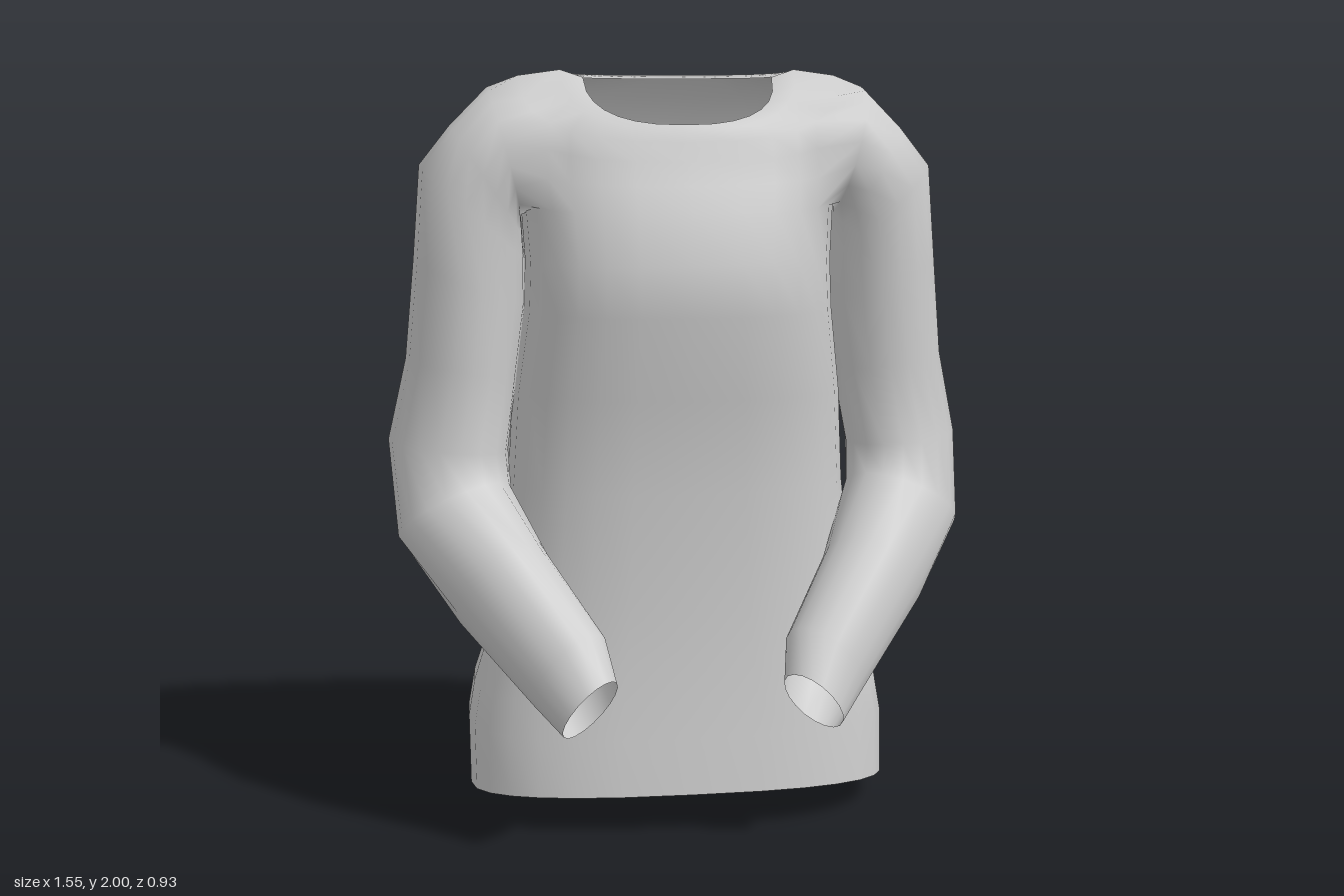
import * as THREE from 'three';

const COLUMNS = 28;  // points around the body
const HALF = 3;      // armhole reaches this many columns either side of the flank

// Body sections: half width, side y, front y, front z, back y, back z, front and back roundness
const bodySections = [
  [0.57, 0.055, 0.105, 0.24, 0.0, -0.44],
  [0.572, 0.24, 0.25, 0.222, 0.22, -0.468],
  [0.555, 0.34, 0.35, 0.21, 0.31, -0.462],
  [0.52, 0.46, 0.46, 0.20, 0.42, -0.415],
  [0.485, 0.60, 0.60, 0.19, 0.60, -0.42],
  [0.455, 0.90, 0.90, 0.18, 0.90, -0.43],
  [0.44, 1.15, 1.15, 0.20, 1.15, -0.415],
  [0.41, 1.37, 1.37, 0.24, 1.37, -0.395],
  [0.405, 1.50, 1.50, 0.23, 1.50, -0.38],
  [0.415, 1.66, 1.63, 0.19, 1.65, -0.355],
  [0.425, 1.76, 1.70, 0.16, 1.75, -0.33],
  [0.425, 1.87, 1.76, 0.135, 1.84, -0.295],
  [0.42, 1.98, 1.81, 0.118, 1.92, -0.25],
  [0.31, 1.995, 1.84, 0.105, 1.98, -0.215, 0.8, 0.65],
  [0.25, 1.975, 1.855, 0.095, 1.97, -0.20, 0.8, 0.8],
];
const ARMPIT = 9, SHOULDER = 12;  // section rows bounding the armhole

// Sleeve sections: outer point, inner point, then half depth as (y, z)
const sleeveSections = [
  [[0.50, 1.95, -0.085], [0.415, 1.61, -0.10], [0, 0.187]],
  [[0.60, 1.85, -0.08], [0.41, 1.56, -0.10], [0, 0.182]],
  [[0.68, 1.75, -0.075], [0.405, 1.50, -0.105], [0, 0.18]],
  [[0.70, 1.50, -0.075], [0.405, 1.38, -0.10], [0, 0.178]],
  [[0.725, 1.24, -0.09], [0.43, 1.20, -0.08], [0, 0.168]],
  [[0.775, 1.02, -0.11], [0.46, 1.00, -0.03], [0, 0.155]],
  [[0.755, 0.78, 0.02], [0.455, 0.90, 0.0], [0.07, 0.13]],
  [[0.61, 0.615, 0.21], [0.365, 0.715, 0.135], [0.115, 0.10]],
  [[0.43, 0.42, 0.36], [0.235, 0.54, 0.30], [0.085, 0.07]],
  [[0.36, 0.35, 0.43], [0.215, 0.45, 0.385], [0.06, 0.05]],
];

// Rounded ring whose front and back may sit at different heights
function bodyRing([w, ySide, yF, zF, yB, zB, roundF = 0.75, roundB = 0.5]) {
  const zMid = (zF + zB) / 2, depth = (zF - zB) / 2;
  return Array.from({ length: COLUMNS }, (_, i) => {
    const a = -i / COLUMNS * Math.PI * 2;
    const c = Math.cos(a), s = Math.sin(a);
    const power = s > 0 ? roundF : roundB;
    const sx = Math.sign(c) * Math.abs(c) ** power;
    const sz = Math.sign(s) * Math.abs(s) ** power;
    const y = ySide + ((s > 0 ? yF : yB) - ySide) * Math.abs(sz);
    return new THREE.Vector3(sx * w, y, zMid + sz * depth);
  });
}

function sleeveRing([outer, inner, [vy, vz]], side, count) {
  const o = new THREE.Vector3(...outer), p = new THREE.Vector3(...inner);
  const centre = o.clone().add(p).multiplyScalar(0.5);
  const u = o.sub(p).multiplyScalar(0.5);
  const v = new THREE.Vector3(0, vy, vz);
  return Array.from({ length: count }, (_, i) => {
    const a = i / count * Math.PI * 2;
    const q = centre.clone().addScaledVector(u, Math.cos(a)).addScaledVector(v, Math.sin(a));
    q.x *= side;
    return q;
  });
}

// Body point numbers around an armhole, from the shoulder top over the front
function armholeLoop(side) {
  const at = (row, i) => {
    const column = side > 0 ? i : COLUMNS / 2 - i;
    return row * COLUMNS + (column + COLUMNS) % COLUMNS;
  };
  const loop = [];
  for (let i = 0; i >= -HALF; i--) loop.push(at(SHOULDER, i));
  for (let r = SHOULDER - 1; r > ARMPIT; r--) loop.push(at(r, -HALF));
  for (let i = -HALF; i <= HALF; i++) loop.push(at(ARMPIT, i));
  for (let r = ARMPIT + 1; r < SHOULDER; r++) loop.push(at(r, HALF));
  for (let i = HALF; i > 0; i--) loop.push(at(SHOULDER, i));
  return loop;
}

export function createModel() {
  const points = bodySections.flatMap(bodyRing);
  const index = [];
  const quad = (a, b, c, d) => index.push(a, b, c, b, d, c);

  // Body, leaving both armholes open
  for (let r = 0; r < bodySections.length - 1; r++) {
    for (let i = 0; i < COLUMNS; i++) {
      const onFlank = (i + HALF) % (COLUMNS / 2) < 2 * HALF;
      if (onFlank && r >= ARMPIT && r < SHOULDER) continue;
      const a = r * COLUMNS + i, b = r * COLUMNS + (i + 1) % COLUMNS;
      quad(a, b, a + COLUMNS, b + COLUMNS);
    }
  }

  // Sleeves, grown from the armhole edges so the shoulders stay seamless
  for (const side of [1, -1]) {
    let previous = armholeLoop(side);
    const count = previous.length;
    for (const section of sleeveSections) {
      const start = points.length;
      points.push(...sleeveRing(section, side, count));
      const next = previous.map((_, i) => start + i);
      for (let i = 0; i < count; i++) {
        const j = (i + 1) % count;
        if (side > 0) quad(previous[i], previous[j], next[i], next[j]);
        else quad(previous[j], previous[i], next[j], next[i]);
      }
      previous = next;
    }
  }

  const geometry = new THREE.BufferGeometry().setFromPoints(points);
  geometry.setIndex(index);
  geometry.computeVertexNormals();
  const material = new THREE.MeshStandardMaterial({ color: 0xcccccc, side: THREE.DoubleSide });
  const sweater = new THREE.Mesh(geometry, material);
  sweater.name = 'sweater';
  const group = new THREE.Group();
  group.name = 'longSleevedTop';
  group.add(sweater);
  return group;
}
